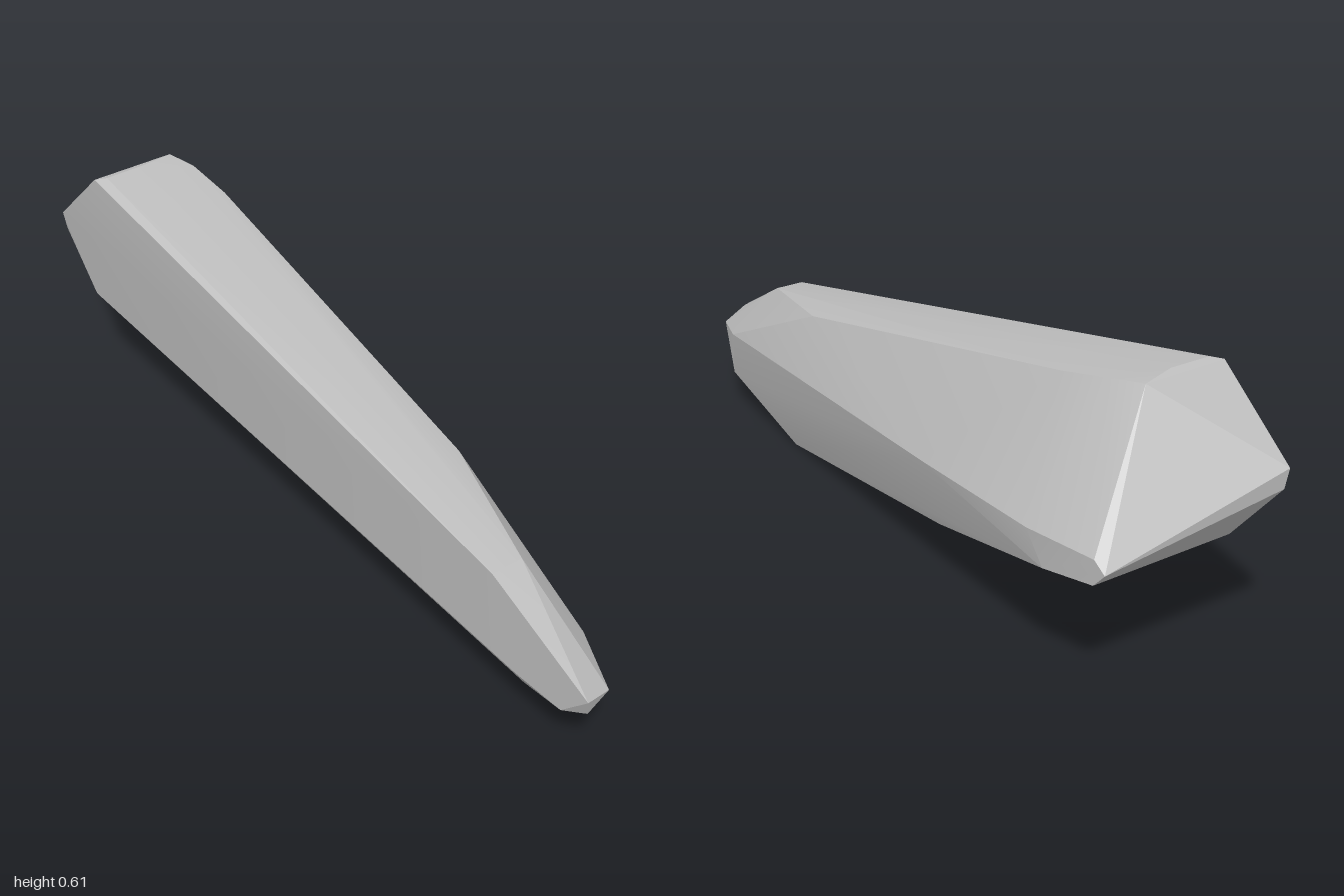
import * as THREE from 'three';
import { ConvexGeometry } from 'three/addons/geometries/ConvexGeometry.js';
import { toCreasedNormals } from 'three/addons/utils/BufferGeometryUtils.js';

export function createModel() {
  const group = new THREE.Group();
  group.name = 'rock';
  const stone = new THREE.MeshStandardMaterial({ color: 0xbebebe });
  stone.name = 'pale grey stone';

  // Corners of the long chipped stone, as x, y, z
  const corners = [
    // broad left end
    [-1, 0.43, 0.178], [-0.995, 0.385, 0.172], [-0.91, 0.27, 0.12], [-0.85, 0.257, 0.184],
    [-0.92, 0.297, -0.24], [-0.89, 0.265, -0.24], [-0.89, 0.32, -0.24],
    [-0.7, 0.315, -0.24], [-0.75, 0.245, -0.24],
    // top face
    [-0.81, 0.6, 0.184], [-0.79, 0.605, 0.16], [-0.79, 0.607, 0.05], [-0.81, 0.602, -0.04],
    [-0.73, 0.594, -0.058], [-0.6, 0.57, -0.06], [0.4, 0.385, 0.045],
    [0.72, 0.35, 0.16], [0.72, 0.35, 0.24],
    // back and underside
    [-0.3, 0.3, -0.178], [-0.3, 0.132, -0.125], [0.5, 0, 0.055],
    [0.6, 0.01, 0.1], [0.45, 0.015, 0.112],
    // narrow right end
    [0.84, 0.2, 0.092], [0.84, 0.09, 0.093], [0.98, 0.183, 0.16], [0.94, 0.135, 0.157],
    [1, 0.21, 0.24], [0.985, 0.16, 0.222], [0.93, 0.14, 0.24], [0.8, 0.145, 0.24],
    [0.8, 0.104, 0.213],
  ].map((p) => new THREE.Vector3(...p));

  const body = new THREE.Mesh(toCreasedNormals(new ConvexGeometry(corners), 0.3), stone);
  body.name = 'stoneBody';
  group.add(body);
  return group;
}
